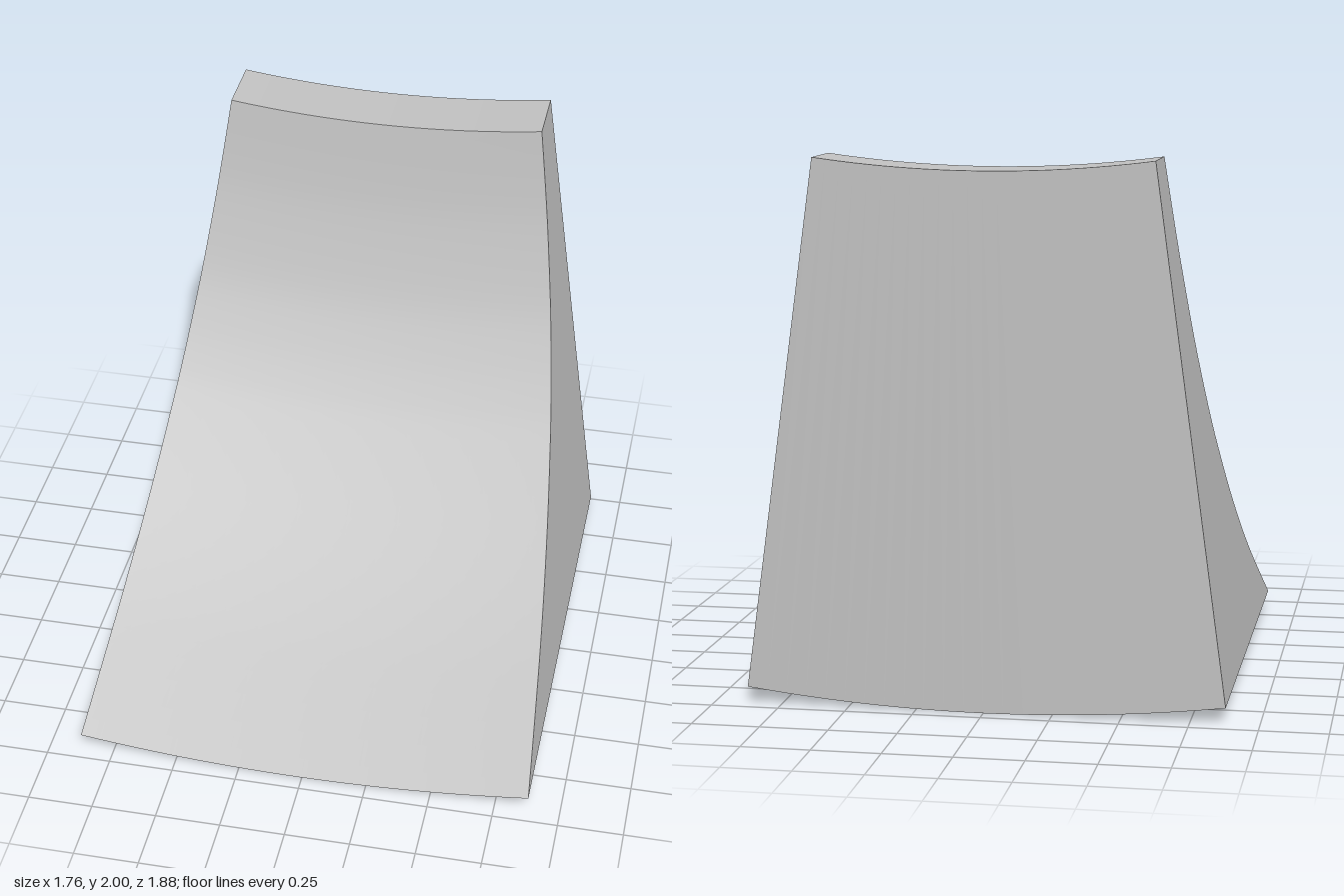
import * as THREE from 'three';

const R = 6.5;        // outer radius, equal to the height of the sweep axis
const A = 0.1355;     // half angle of the sector
const BACK = -0.94, FRONT = 0.94;

export function createModel() {
  const group = new THREE.Group();
  group.name = 'curvedWedgeSegment';
  const grey = new THREE.MeshStandardMaterial({ color: 0xc0c0c0 });
  grey.name = 'plain grey';

  // Concave front profile as (z, height at the side edge), turned into (radius, z)
  const slope = new THREE.SplineCurve([
    [FRONT, 0.06], [0.6, 0.253], [0.4, 0.375], [0.2, 0.517], [0, 0.685], [-0.2, 0.888],
    [-0.3, 1.01], [-0.4, 1.16], [-0.5, 1.345], [-0.6, 1.61], [-0.65, 1.8], [-0.69, 2],
  ].map(([z, y]) => new THREE.Vector2(z === FRONT ? R : (R - y) / Math.cos(A), z))).getPoints(44);
  const inner = slope[slope.length - 1];
  const v = (r, z) => new THREE.Vector2(r, z);

  const add = (name, geometry) => {
    geometry.rotateX(Math.PI / 2).translate(0, R, 0);
    const mesh = new THREE.Mesh(geometry, grey);
    mesh.name = name;
    group.add(mesh);
  };

  // Swept faces, kept apart so their shared edges stay sharp
  const bands = {
    curvedBase: [v(R, BACK), v(R, FRONT)],
    concaveFront: slope,
    curvedTop: [inner, v(inner.x, BACK)],
    flatBack: [v(inner.x, BACK), v(R, BACK)],
  };
  for (const [name, points] of Object.entries(bands)) {
    add(name, new THREE.LatheGeometry(points, 24, -A, 2 * A));
  }

  // Flat side walls
  const outline = [v(R, BACK), ...slope, v(inner.x, BACK)];
  for (const side of [-1, 1]) {
    const wall = new THREE.ShapeGeometry(new THREE.Shape(outline));
    if (side > 0) {
      wall.setIndex(Array.from(wall.index.array).reverse());
      wall.computeVertexNormals();
    }
    wall.rotateY(side * A - Math.PI / 2);
    add(side > 0 ? 'leftWall' : 'rightWall', wall);
  }
  return group;
}
